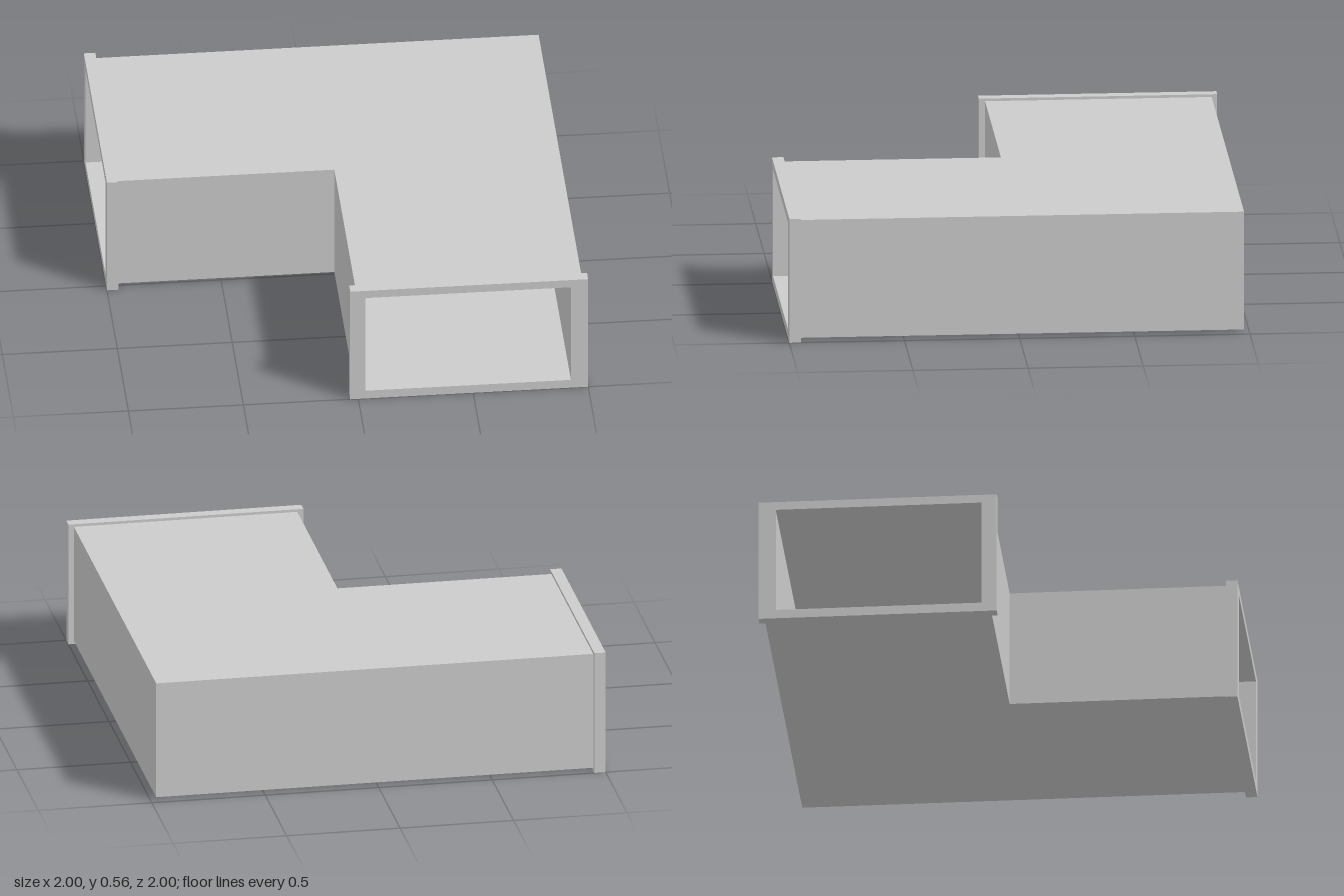
import * as THREE from 'three';

const material = new THREE.MeshStandardMaterial({ color: 0xcccccc, flatShading: true });

// Rectangles as [near side, far side, bottom, top], measured across the duct
const OUTER = [-0.008, 0.976, 0.015, 0.543];
const INNER = [0.032, 0.925, 0.04, 0.518];
const FLANGE = [-0.035, 1, 0, 0.555];
const DEPTH = 0.05;

// Sweep a rectangle from the left end, round the mitred corner, to the front end
function elbow([t0, t1, y0, y1], inward) {
  const end = 1 - DEPTH;
  const stations = [(t, y) => [-end, y, -t], (t, y) => [t, y, -t], (t, y) => [t, y, end]];
  const corners = [[t0, y0], [t1, y0], [t1, y1], [t0, y1]];
  const positions = [];
  for (let s = 0; s < 2; s++) {
    for (let k = 0; k < 4; k++) {
      const p = corners[k], q = corners[(k + 1) % 4];
      const a = stations[s](...p), b = stations[s](...q);
      const c = stations[s + 1](...q), d = stations[s + 1](...p);
      const tris = inward ? [a, c, b, a, d, c] : [a, b, c, a, c, d];
      positions.push(...tris.flat());
    }
  }
  const geometry = new THREE.BufferGeometry();
  geometry.setAttribute('position', new THREE.Float32BufferAttribute(positions, 3));
  geometry.computeVertexNormals();
  return geometry;
}

function rectangle(path, [x0, x1, y0, y1]) {
  path.moveTo(x0, y0).lineTo(x1, y0).lineTo(x1, y1).lineTo(x0, y1).closePath();
  return path;
}

function addMesh(parent, name, geometry) {
  const mesh = new THREE.Mesh(geometry, material);
  mesh.name = name;
  parent.add(mesh);
  return mesh;
}

export function createModel() {
  const group = new THREE.Group();
  group.name = 'rectangularDuctElbow';

  // Hollow duct body
  addMesh(group, 'ductOuterWalls', elbow(OUTER, false));
  addMesh(group, 'ductInnerWalls', elbow(INNER, true));

  // Rectangular collar at each open end
  const frame = rectangle(new THREE.Shape(), FLANGE);
  frame.holes.push(rectangle(new THREE.Path(), INNER));
  const collar = new THREE.ExtrudeGeometry(frame, { depth: DEPTH, bevelEnabled: false });
  addMesh(group, 'frontFlange', collar).position.z = 1 - DEPTH;
  const side = addMesh(group, 'sideFlange', collar);
  side.rotation.y = Math.PI / 2;
  side.position.x = -1;

  return group;
}
